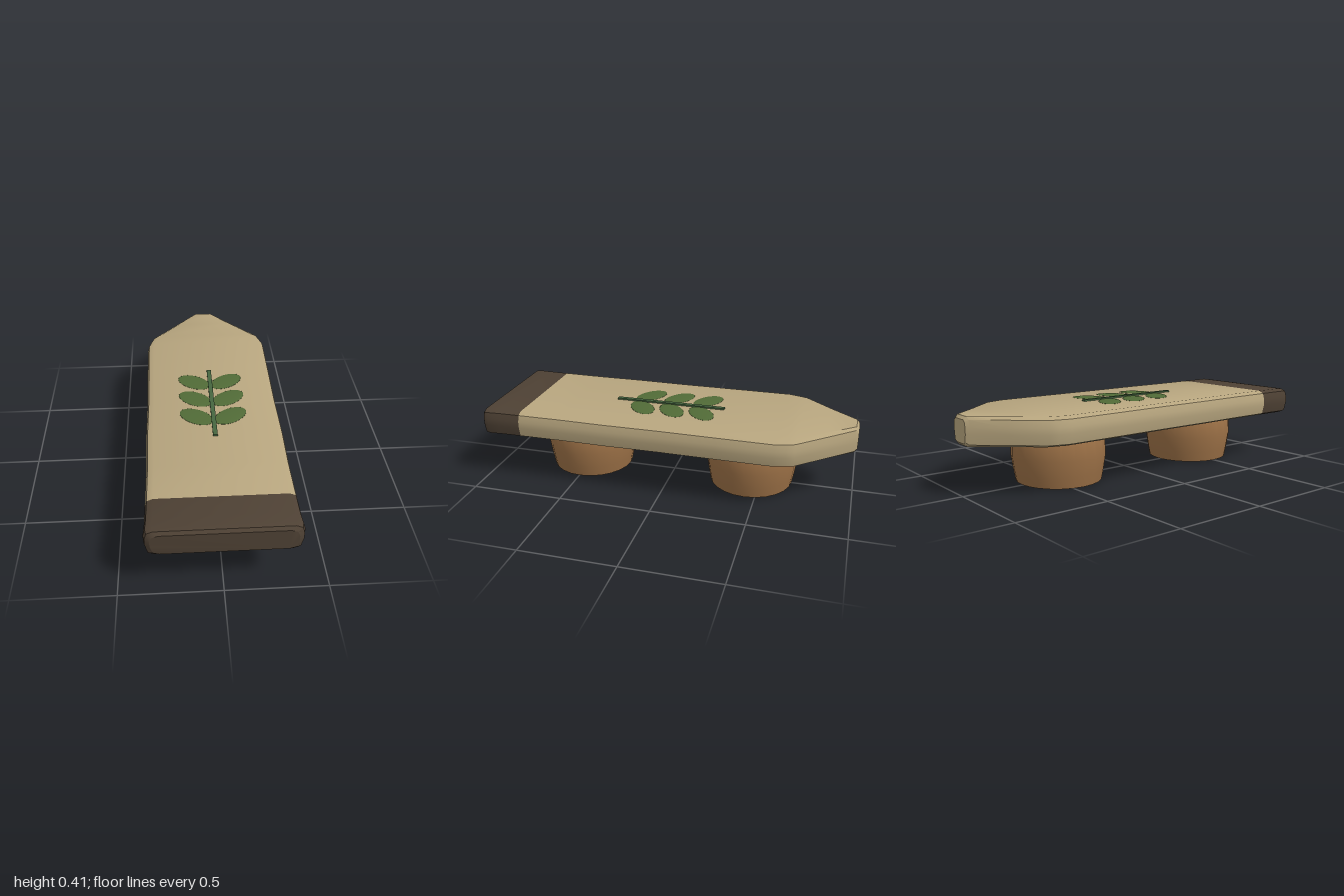
import * as THREE from 'three';
import { toCreasedNormals } from 'three/addons/utils/BufferGeometryUtils.js';

const mat = (name, color) => {
  const m = new THREE.MeshStandardMaterial({ color });
  m.name = name;
  return m;
};

// Chamfered cross-section: [inset from the side, height], right side from bottom to top
const PROFILE = [[0.045, 0.252], [0.014, 0.264], [0.002, 0.315], [0.002, 0.35], [0.012, 0.385], [0.042, 0.398]];
const MID = 0.325;

function ring([z, w, squash = 1]) {
  const k = Math.min(1, w / 0.12);
  const half = PROFILE.map(([inset, y]) => [w - inset * k, MID + (y - MID) * squash, z]);
  const other = half.map(([x, y]) => [-x, y, z]).reverse();
  return [...half, ...other];
}

// Skin a list of [z, halfWidth, squash] sections, closing the chosen ends
function loft(sections, capBack, capFront) {
  const rings = sections.map(ring);
  const n = rings[0].length;
  const pos = rings.flat(2);
  const index = [];
  for (let i = 0; i < rings.length - 1; i++) {
    for (let j = 0; j < n; j++) {
      const a = i * n + j, b = i * n + (j + 1) % n;
      index.push(a, b, b + n, a, b + n, a + n);
    }
  }
  const last = (rings.length - 1) * n;
  for (let j = 1; j < n - 1; j++) {
    if (capBack) index.push(0, j + 1, j);
    if (capFront) index.push(last, last + j, last + j + 1);
  }
  const g = new THREE.BufferGeometry();
  g.setAttribute('position', new THREE.Float32BufferAttribute(pos, 3));
  g.setIndex(index);
  return toCreasedNormals(g, 0.55);
}

export function createModel() {
  const group = new THREE.Group();
  const wood = mat('pale wood', 0xb8a67f);
  const dark = mat('dark brown', 0x4e4134);
  const cork = mat('warm brown', 0x9b7046);
  const leafGreen = mat('leaf green', 0x516b37);
  const stemGreen = mat('stem green', 0x466640);

  const add = (name, geometry, material, parent = group) => {
    const mesh = new THREE.Mesh(geometry, material);
    mesh.name = name;
    parent.add(mesh);
    return mesh;
  };

  // Plank with a pointed back end, slightly uneven along its length
  add('plank', loft([
    [-1, 0.06, 0.8], [-0.985, 0.075], [-0.85, 0.2], [-0.7, 0.332], [-0.66, 0.345], [-0.6, 0.362],
    [-0.3, 0.36], [0, 0.357], [0.3, 0.36], [0.55, 0.356], [0.78, 0.358],
  ], true, false), wood);

  // Dark dipped front end
  add('darkEnd', loft([
    [0.78, 0.358], [0.9, 0.36], [0.96, 0.364], [0.985, 0.358, 0.96], [1, 0.335, 0.78],
  ], false, true), dark);

  // Two round feet, widest at mid height
  const footProfile = [[0, 0], [0.232, 0.003], [0.243, 0.06], [0.256, 0.145], [0.251, 0.235], [0.243, 0.246], [0, 0.246]]
    .map(([r, y]) => new THREE.Vector2(r, y));
  const footGeometry = toCreasedNormals(new THREE.LatheGeometry(footProfile, 24), 0.6);
  for (const [name, z] of [['frontFoot', 0.495], ['backFoot', -0.445]]) {
    const foot = add(name, footGeometry, cork);
    foot.position.z = z;
    foot.scale.z = 0.975;
  }

  // Sprig on the top: stem and three pairs of shallow domed leaves
  const sprig = new THREE.Group();
  sprig.name = 'sprig';
  group.add(sprig);
  add('stem', new THREE.BoxGeometry(0.024, 0.009, 0.61), stemGreen, sprig).position.set(0, 0.402, 0.025);
  const leafGeometry = new THREE.SphereGeometry(1, 24, 12);
  for (const z of [-0.17, -0.005, 0.16]) {
    for (const side of [-1, 1]) {
      const leaf = add(side > 0 ? 'leftLeaf' : 'rightLeaf', leafGeometry, leafGreen, sprig);
      leaf.scale.set(0.1, 0.0048, 0.06);
      leaf.rotation.y = side * 0.62;
      leaf.position.set(side * 0.09, 0.3985, z);
    }
  }
  return group;
}
